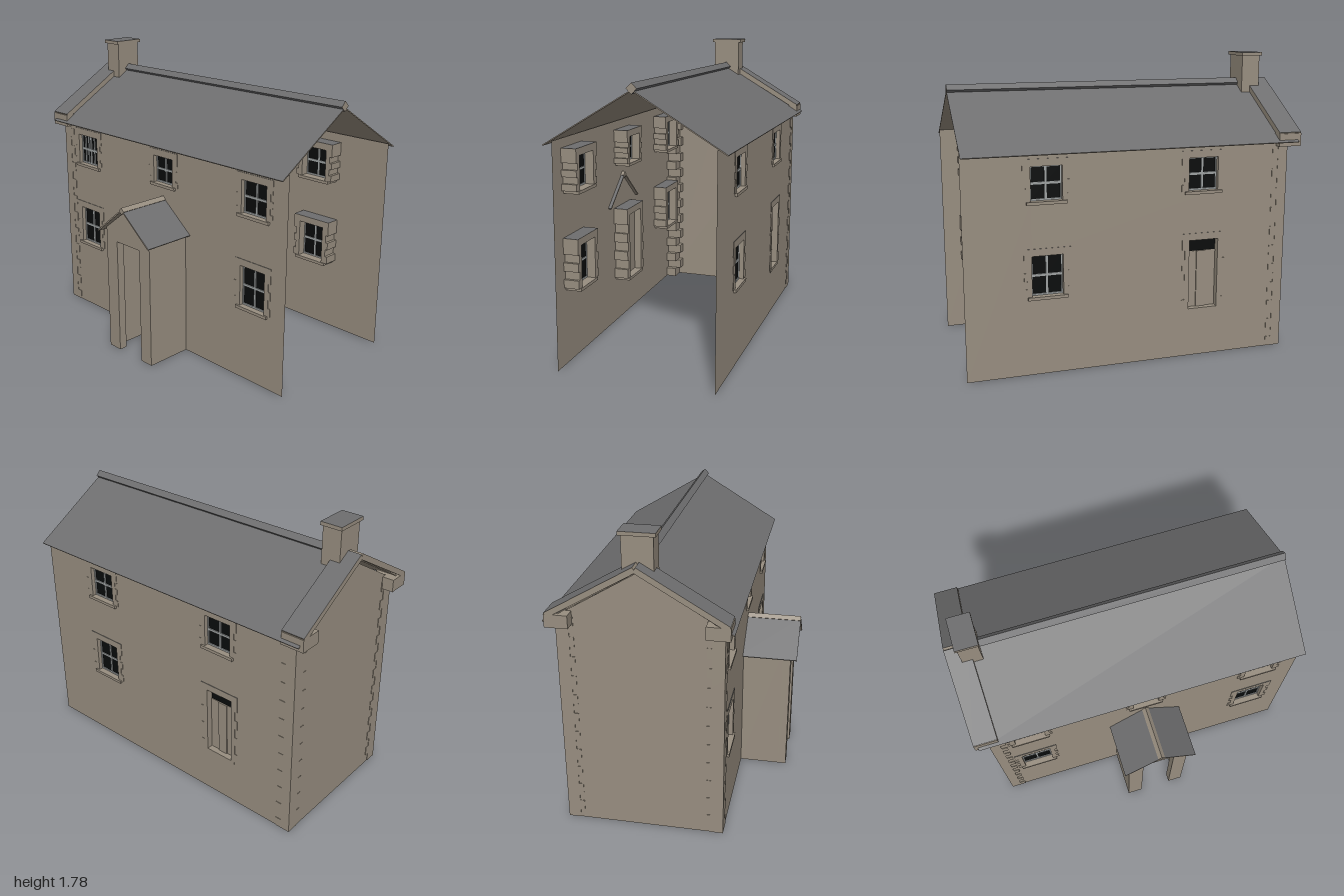
import * as THREE from 'three';

const material = (name, color, side = THREE.FrontSide) => {
  const m = new THREE.MeshStandardMaterial({ color, side });
  m.name = name;
  return m;
};

export function createModel() {
  const stone = material('stone', 0x988e80, THREE.DoubleSide);
  const slate = material('slate', 0x6e6e6f);
  const glass = material('dark glass', 0x0a0c0c);
  const paint = material('window paint', 0x9ea2a2);
  const slateTop = [stone, stone, slate, stone, stone, stone];
  const slateSides = [stone, stone, slate, slate, slate, slate];

  const house = new THREE.Group();
  house.name = 'house';

  const add = (parent, name, geometry, mat) => {
    const mesh = new THREE.Mesh(geometry, mat);
    mesh.name = name;
    parent.add(mesh);
    return mesh;
  };
  // Box given by its limits on each axis
  const box = (parent, name, x0, x1, y0, y1, z0, z1, mat = stone) => {
    const mesh = add(parent, name, new THREE.BoxGeometry(x1 - x0, y1 - y0, z1 - z0), mat);
    mesh.position.set((x0 + x1) / 2, (y0 + y1) / 2, (z0 + z1) / 2);
    return mesh;
  };
  const group = (name, parent = house) => {
    const g = new THREE.Group();
    g.name = name;
    parent.add(g);
    return g;
  };
  const outline = (points) => new THREE.Shape(points.map(([x, y]) => new THREE.Vector2(x, y)));
  const rect = (x0, x1, y0, y1) => [[x0, y0], [x1, y0], [x1, y1], [x0, y1]];

  // Pair of sloping slabs meeting at a ridge along x, eaves at y = 0
  const slopes = (parent, name, length, span, rise, thick) => {
    const g = group(name, parent);
    const angle = Math.atan2(rise, span);
    for (const s of [1, -1]) {
      const slab = add(g, name + 'Slope',
        new THREE.BoxGeometry(length, thick, Math.hypot(span, rise)), slateTop);
      slab.position.set(0, rise / 2, s * span / 2);
      slab.rotation.x = s * angle;
    }
    return g;
  };

  // Stone surround of an opening, reaching into the room
  const surround = (parent, x0, x1, y0, y1, sill) => {
    const g = group('surround', parent);
    const courses = y1 - y0 > 0.3 ? 7 : 5;
    const step = (y1 - y0) / courses;
    for (let i = 0; i < courses; i++) {
      const w = i % 2 ? 0.028 : 0.045;
      const a = y0 + i * step, b = a + step;
      box(g, 'jambStone', x0 - w, x0, a, b, -0.09, 0.003);
      box(g, 'jambStone', x1, x1 + w, a, b, -0.09, 0.003);
    }
    box(g, 'lintel', x0 - 0.045, x1 + 0.045, y1, y1 + 0.042, -0.09, 0.003, slateTop);
    box(g, 'sill', x0 - 0.025, x1 + 0.025, y0 - 0.018, y0, -0.095, sill);
  };

  // Sash window with crossing glazing bars
  const sash = (parent, x0, x1, y0, y1, extraBars = []) => {
    const g = group('window', parent);
    box(g, 'pane', x0, x1, y0, y1, -0.034, -0.028, glass);
    const bar = (a, b, c, d) => box(g, 'glazingBar', a, b, c, d, -0.038, -0.022, paint);
    const cx = (x0 + x1) / 2, cy = (y0 + y1) / 2;
    bar(x0, x0 + 0.007, y0, y1);
    bar(x1 - 0.007, x1, y0, y1);
    bar(x0, x1, y0, y0 + 0.01);
    bar(x0, x1, y1 - 0.007, y1);
    bar(cx - 0.006, cx + 0.006, y0, y1);
    bar(x0, x1, cy - 0.007, cy + 0.007);
    for (const d of extraBars) bar(cx + d - 0.004, cx + d + 0.004, y0, y1);
  };

  // Plank door, with an optional dark light over it
  const door = (parent, x0, x1, y0, y1, overlight) => {
    const g = group('door', parent);
    const top = overlight ? y1 - 0.075 : y1;
    const mid = (x0 + x1) / 2;
    box(g, 'doorLeaf', x0, x1, y0, top, -0.045, -0.035);
    box(g, 'doorBatten', mid - 0.03, mid + 0.03, y0, top, -0.036, -0.028);
    if (overlight) box(g, 'overlight', x0, x1, top, y1, -0.045, -0.038, glass);
  };

  // Long wall: outer face at local z = 0, with its openings
  const longWall = (name, x0, x1, openings) => {
    const g = group(name);
    const shape = outline(rect(x0, x1, 0, 1.3));
    for (const o of openings) {
      const [a, b, c, d] = o.at;
      shape.holes.push(outline(rect(a, b, c, d)));
      surround(g, a, b, c, d, o.door ? 0.003 : 0.014);
      if (o.door) door(g, a, b, c, d, o.overlight);
      else sash(g, a, b, c, d, o.extra);
    }
    add(g, name + 'Face', new THREE.ShapeGeometry(shape), stone);
    return g;
  };

  const front = longWall('frontWall', -0.93, 1, [
    { at: [-0.785, -0.6, 0.455, 0.7] },
    { at: [0.67, 0.85, 0.455, 0.7] },
    { at: [-0.785, -0.6, 1.01, 1.205], extra: [-0.055, -0.025, 0.035] },
    { at: [0.67, 0.85, 1.01, 1.205] },
    { at: [-0.047, 0.115, 1.037, 1.205] },
    { at: [-0.06, 0.128, 0.295, 0.707], door: true },
  ]);
  front.position.z = 0.32;

  const back = longWall('backWall', -1, 0.93, [
    { at: [-0.62, -0.44, 0.465, 0.7] },
    { at: [-0.62, -0.44, 1.01, 1.205] },
    { at: [0.31, 0.49, 1.01, 1.205] },
    { at: [0.32, 0.5, 0.295, 0.715], door: true, overlight: true },
  ]);
  back.position.z = -0.59;
  back.rotation.y = Math.PI;

  // Gable end; the opposite end is open
  const gable = add(house, 'gableWall', new THREE.ShapeGeometry(
    outline([[-0.32, 0], [0.59, 0], [0.59, 1.29], [0.135, 1.565], [-0.32, 1.29]])), stone);
  gable.rotation.y = -Math.PI / 2;
  gable.position.x = -0.93;
  gable.scale.x = -1;
  gable.rotation.y = Math.PI / 2;
  gable.scale.x = 1;

  // Corner stones, alternately long and short
  const quoins = group('cornerStones');
  const courses = 22, step = 1.29 / courses;
  for (let i = 0; i < courses; i++) {
    const w = i % 2 ? 0.098 : 0.072;
    const l = i % 2 ? 0.06 : 0.095;
    const y = i * step;
    box(quoins, 'cornerStone', -0.933, -0.933 + l, y, y + step, 0.323 - w, 0.323);
    box(quoins, 'cornerStone', -0.933, -0.933 + l, y, y + step, -0.593, -0.593 + w);
  }

  // Main roof, ridge and raised gable coping
  const roof = slopes(house, 'roof', 1.98, 0.51, 0.307, 0.006);
  roof.position.set(0.01, 1.275, -0.135);
  const ridge = box(house, 'ridge', -0.86, 1, 1.569, 1.611, -0.156, -0.114, slateSides);
  ridge.rotation.x = Math.PI / 4;
  const coping = slopes(house, 'coping', 0.14, 0.485, 0.285, 0.032);
  coping.position.set(-0.93, 1.319, -0.135);
  box(house, 'kneelerFront', -1, -0.86, 1.25, 1.325, 0.23, 0.36);
  box(house, 'kneelerBack', -1, -0.86, 1.25, 1.325, -0.63, -0.5);

  // Chimney
  box(house, 'chimney', -0.92, -0.805, 1.49, 1.757, -0.22, -0.05);
  box(house, 'chimneyCap', -0.93, -0.797, 1.757, 1.778, -0.235, -0.035, slateTop);

  // Porch
  const porch = group('porch');
  const porchFront = add(porch, 'porchFront', new THREE.ExtrudeGeometry(outline([
    [-0.16, 0], [-0.065, 0], [-0.065, 0.718], [0.135, 0.718], [0.135, 0],
    [0.225, 0], [0.225, 0.79], [0.032, 0.94], [-0.16, 0.79],
  ]), { depth: 0.05, bevelEnabled: false }), stone);
  porchFront.position.z = 0.56;
  box(porch, 'porchSide', -0.16, -0.12, 0, 0.79, 0.32, 0.56);
  box(porch, 'porchSide', 0.185, 0.225, 0, 0.79, 0.32, 0.56);
  const porchRoof = slopes(porch, 'porchRoof', 0.35, 0.228, 0.183, 0.008);
  porchRoof.rotation.y = Math.PI / 2;
  porchRoof.position.set(0.032, 0.767, 0.475);
  const porchRidge = box(porch, 'porchRidge', 0.017, 0.047, 0.931, 0.961, 0.3, 0.65);
  porchRidge.rotation.z = Math.PI / 4;
  porchRidge.position.y = 0.944;

  return house;
}
